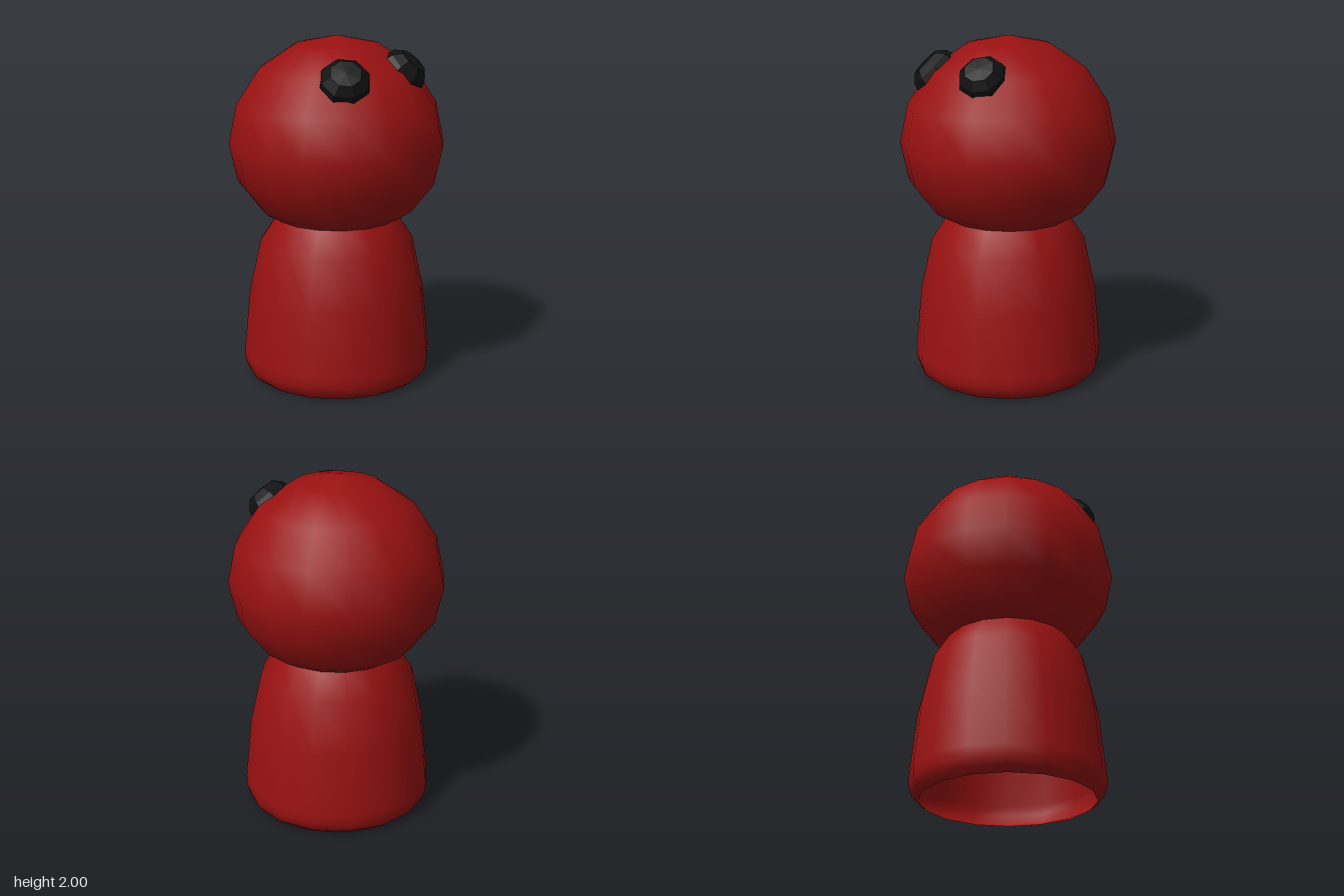
import * as THREE from 'three';

const red = new THREE.MeshStandardMaterial({ color: 0x991111, side: THREE.DoubleSide });
const black = new THREE.MeshStandardMaterial({ color: 0x111111, flatShading: true });

// Turned part from a profile of [radius, height] pairs, bottom to top
function turned(name, profile, sides, material, turn = 0) {
  const points = profile.map(([r, y]) => new THREE.Vector2(r, y));
  const mesh = new THREE.Mesh(new THREE.LatheGeometry(points, sides, turn), material);
  mesh.name = name;
  return mesh;
}

export function createModel() {
  const group = new THREE.Group();
  group.name = 'pegFigure';
  const turn = THREE.MathUtils.degToRad(7.4);

  // Hollow body, open underneath, with a rounded foot
  group.add(turned('body', [
    [0.495, 0], [0.533, 0.03], [0.549, 0.08], [0.551, 0.14],
    [0.514, 0.51], [0.447, 0.81], [0.355, 0.95],
  ], 16, red, turn));

  // Round head, slightly flattened where it meets the body
  group.add(turned('head', [
    [0.355, 0.95], [0.444, 1.0], [0.575, 1.17], [0.622, 1.385],
    [0.575, 1.61], [0.442, 1.815], [0.238, 1.952], [0, 2],
  ], 16, red, turn));

  // Faceted eyes pressed into the upper front of the head
  const eyes = [
    ['leftEye', 0.2, 0.44, 0.35, 1],
    ['rightEye', -0.26, 0.425, 0.34, 1.04],
  ];
  for (const [name, x, y, z, size] of eyes) {
    const eye = turned(name, [
      [0, 0.49], [0.1, 0.5], [0.143, 0.57], [0.128, 0.62], [0.085, 0.662], [0, 0.668],
    ].map(([r, h]) => [r * size, h]), 8, black, Math.PI / 8);
    eye.position.y = 1.383;
    eye.quaternion.setFromUnitVectors(
      new THREE.Vector3(0, 1, 0), new THREE.Vector3(x, y, z).normalize());
    group.add(eye);
  }
  return group;
}
